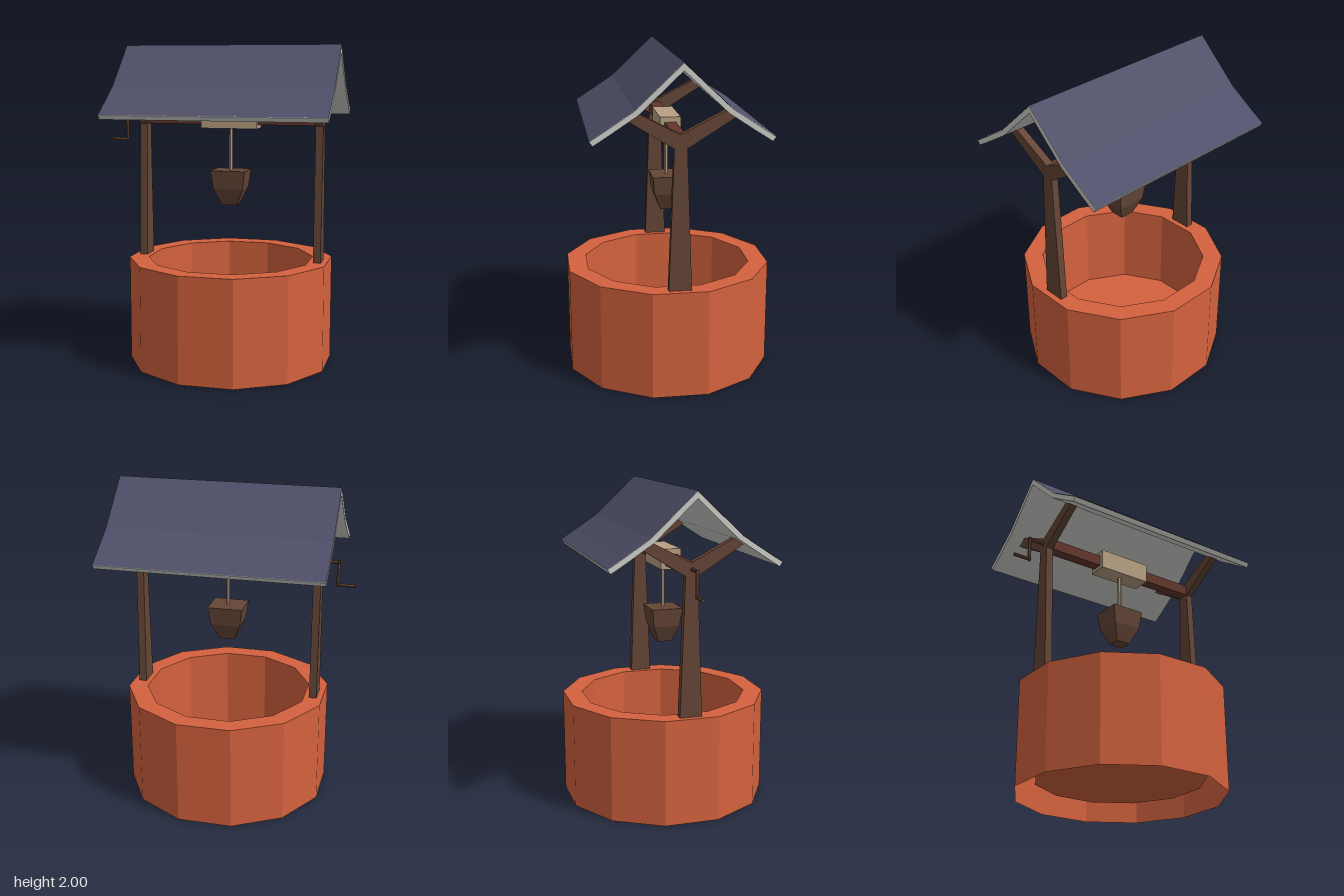
import * as THREE from 'three';

const mat = (name, color, extra = {}) => {
  const m = new THREE.MeshStandardMaterial({ color, flatShading: true, ...extra });
  m.name = name;
  return m;
};

export function createModel() {
  const brick = mat('brick', 0xd4623e, { side: THREE.DoubleSide });
  const wood = mat('wood', 0x664637);
  const redWood = mat('redWood', 0x62372c);
  const tan = mat('tan', 0xb9a083);
  const slate = mat('slate', 0x50506a, { side: THREE.DoubleSide });
  const trim = mat('trim', 0xcfcfcb);

  const model = new THREE.Group();
  model.name = 'well';
  const CX = 0.05; // the well axis sits off centre because of the crank
  const add = (name, geo, material, x = 0, y = 0, z = 0, parent = model) => {
    const mesh = new THREE.Mesh(geo, material);
    mesh.name = name;
    mesh.position.set(x, y, z);
    parent.add(mesh);
    return mesh;
  };

  // extrude a (z, y) outline along x, centred
  const extrudeX = (points, width) => {
    const shape = new THREE.Shape(points.map(([z, y]) => new THREE.Vector2(z, y)));
    const geo = new THREE.ExtrudeGeometry(shape, { depth: width, bevelEnabled: false });
    geo.translate(0, 0, -width / 2);
    return geo.rotateY(-Math.PI / 2);
  };
  const mirrored = (half) => half.filter(([z]) => z > 0).map(([z, y]) => [-z, y]).reverse();

  // twelve-sided wall, hollow below, with a raised floor inside
  const wall = [[0, 0.1], [0.525, 0.1], [0.525, 0.66], [0.647, 0.66], [0.647, 0]]
    .map(([r, y]) => new THREE.Vector2(r, y)).reverse();
  add('wall', new THREE.LatheGeometry(wall, 12, Math.PI / 12), brick, CX);

  // forked posts
  const fork = [[0.068, 0.66], [0.037, 1.505], [0.323, 1.685], [0.262, 1.72], [0, 1.585]];
  const forkOutline = [...fork, ...mirrored(fork)];
  for (const side of [-1, 1]) {
    add(side > 0 ? 'leftPost' : 'rightPost', extrudeX(forkOutline, 0.047), wood, CX + side * 0.565);
  }

  // beam, rope drum and rope
  add('beam', new THREE.BoxGeometry(1.09, 0.07, 0.07), redWood, CX, 1.543);
  add('drum', new THREE.BoxGeometry(0.358, 0.126, 0.126), tan, CX, 1.547);
  add('rope', new THREE.CylinderGeometry(0.012, 0.012, 0.28, 6), tan, CX, 1.35);

  // bucket: two stacked four-sided tapers
  const taper = (top, bottom, height) =>
    new THREE.CylinderGeometry(top * Math.SQRT2, bottom * Math.SQRT2, height, 4, 1, false, Math.PI / 4)
      .scale(1, 1, 0.89);
  const bucket = new THREE.Group();
  bucket.name = 'bucket';
  bucket.position.set(CX, 1.0, 0);
  model.add(bucket);
  add('bucketTop', taper(0.11, 0.094, 0.115), wood, 0, 0.1625, 0, bucket);
  add('bucketBottom', taper(0.094, 0.048, 0.105), wood, 0, 0.0525, 0, bucket);

  // crank: three short rods
  const crank = new THREE.Group();
  crank.name = 'crank';
  model.add(crank);
  const rod = (name, length, x, y, vertical) => {
    const geo = new THREE.CylinderGeometry(0.011, 0.011, length, 6);
    if (!vertical) geo.rotateZ(Math.PI / 2);
    add(name, geo, wood, x, y, 0, crank);
  };
  rod('crankAxle', 0.13, -0.58, 1.546, false);
  rod('crankArm', 0.166, -0.638, 1.474, true);
  rod('crankHandle', 0.116, -0.687, 1.402, false);

  // roof shell with flared eaves, and a slate skin on top
  const W = 1.372;
  const outer = [[0, 1.997], [0.27, 1.742], [0.43, 1.637], [0.518, 1.581]];
  const inner = [[0.5, 1.555], [0.41, 1.612], [0.25, 1.718], [0, 1.955]];
  add('roofShell', extrudeX([...outer, ...inner, ...mirrored(inner), ...mirrored(outer)], W), trim, CX);

  const line = [...mirrored(outer), ...outer];
  const skin = new THREE.PlaneGeometry(W, 1, 1, line.length - 1);
  const pos = skin.attributes.position;
  for (let i = 0; i < pos.count; i++) {
    const [z, y] = line[Math.floor(i / 2)];
    pos.setXYZ(i, pos.getX(i), y + 0.003, z);
  }
  skin.computeVertexNormals();
  add('roofSlates', skin, slate, CX);

  return model;
}
